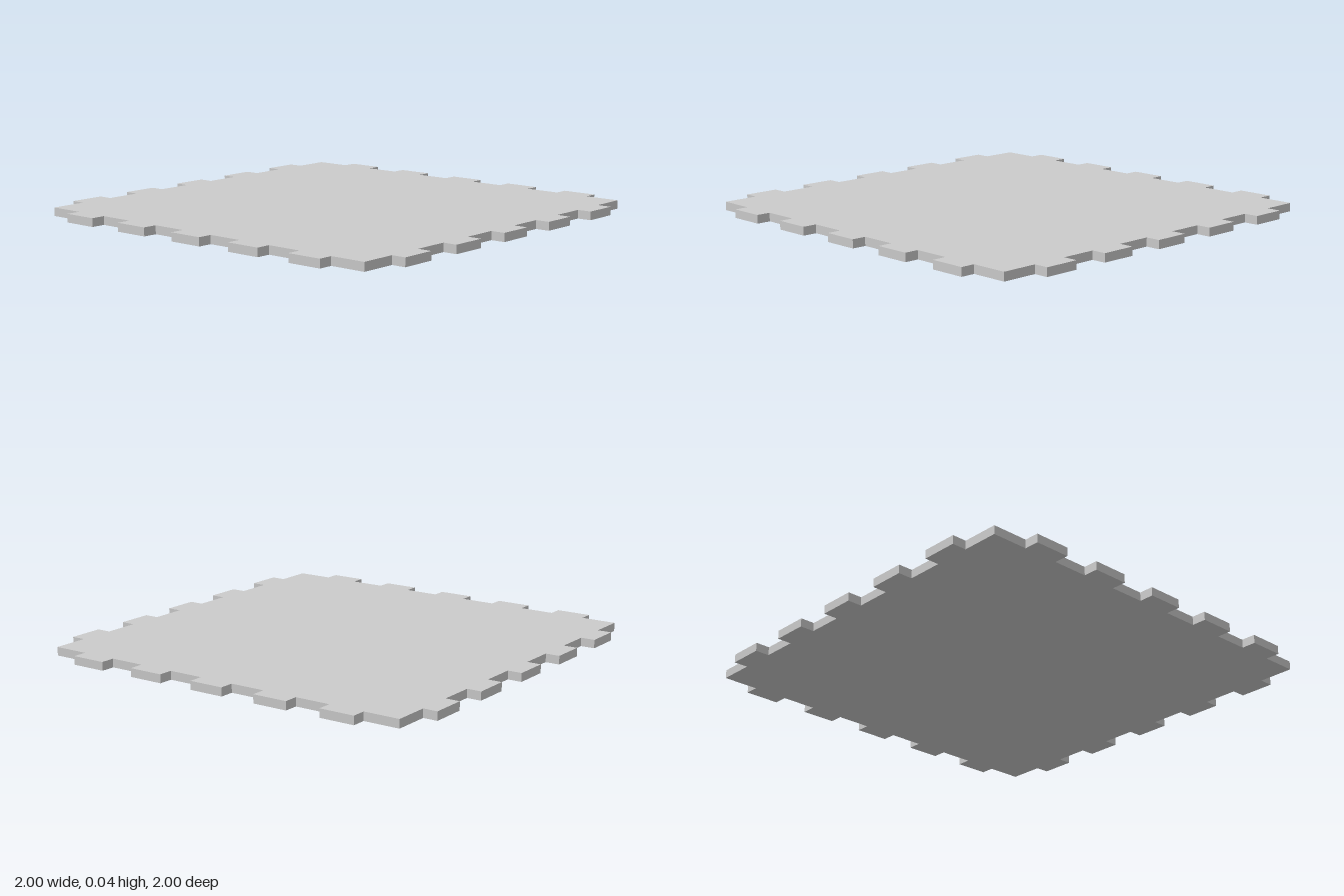
import * as THREE from 'three';

const BODY = 0.932;    // half width of the square between the tabs
const REACH = 1;       // half width including the tabs
const TAB = 0.169;     // tab width, equal to a gap
const THICKNESS = 0.04;

// Outline of the panel: one toothed side, turned four times
function panelShape() {
  const side = [[-BODY, -BODY]];
  for (let i = -2; i <= 2; i++) {
    const a = i * 2 * TAB - TAB / 2, b = a + TAB;
    side.push([a, -BODY], [a, -REACH], [b, -REACH], [b, -BODY]);
  }
  const points = [];
  for (let k = 0; k < 4; k++) {
    const c = [1, 0, -1, 0][k], s = [0, 1, 0, -1][k];
    for (const [x, y] of side) points.push(new THREE.Vector2(x * c - y * s, x * s + y * c));
  }
  return new THREE.Shape(points);
}

export function createModel() {
  const group = new THREE.Group();
  group.name = 'fingerJointPanel';

  // Flat panel with five square tabs on each edge
  const geometry = new THREE.ExtrudeGeometry(panelShape(), { depth: THICKNESS, bevelEnabled: false });
  geometry.rotateX(-Math.PI / 2);
  const panel = new THREE.Mesh(geometry, new THREE.MeshStandardMaterial({ color: 0xcccccc, flatShading: true }));
  panel.name = 'tabbedPanel';
  group.add(panel);

  return group;
}
